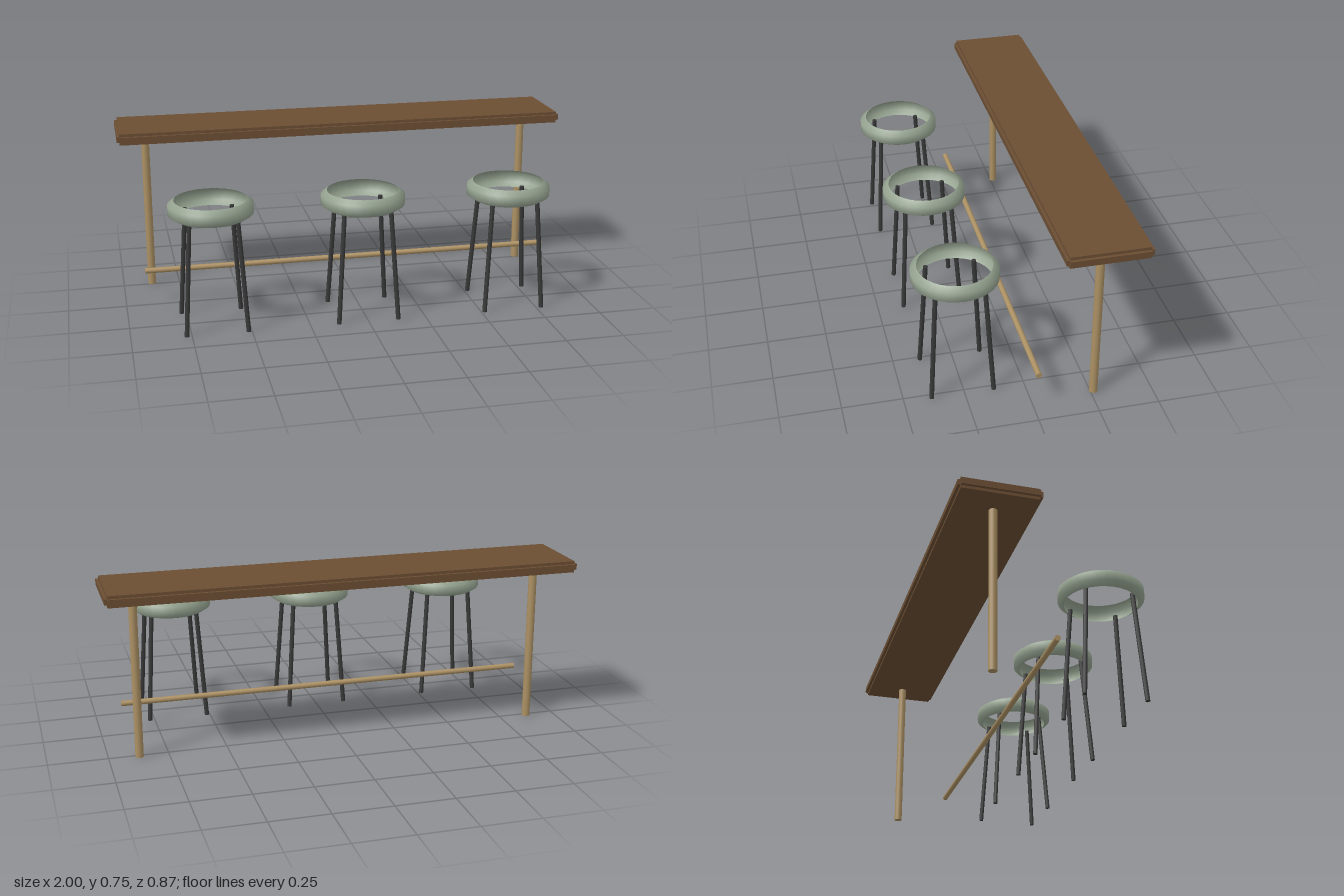
import * as THREE from 'three';

const mat = (name, color, side = THREE.FrontSide) => {
  const m = new THREE.MeshStandardMaterial({ color, side });
  m.name = name;
  return m;
};

export function createModel() {
  const walnut = mat('walnut brown', 0x6b4e33);
  const brass = mat('brass tan', 0xab9063);
  const sage = mat('sage green', 0x95a390, THREE.DoubleSide);
  const black = mat('dark metal', 0x383838);

  const model = new THREE.Group();
  model.name = 'barCounterWithStools';

  const add = (parent, name, geometry, material, x = 0, y = 0, z = 0) => {
    const mesh = new THREE.Mesh(geometry, material);
    mesh.name = name;
    mesh.position.set(x, y, z);
    parent.add(mesh);
    return mesh;
  };

  // round rod between two points
  const rod = (parent, name, from, to, radius, material, sides = 16) => {
    const a = new THREE.Vector3(...from), b = new THREE.Vector3(...to);
    const dir = b.clone().sub(a);
    const mesh = add(parent, name, new THREE.CylinderGeometry(radius, radius, dir.length(), sides), material);
    mesh.position.copy(a).add(b).multiplyScalar(0.5);
    mesh.quaternion.setFromUnitVectors(new THREE.Vector3(0, 1, 0), dir.normalize());
    return mesh;
  };

  // counter top: crossed slabs that give stepped edges
  const top = new THREE.Group();
  top.name = 'counterTop';
  top.position.set(0, 0.7245, -0.263);
  model.add(top);
  add(top, 'counterCore', new THREE.BoxGeometry(1.976, 0.049, 0.318), walnut);
  add(top, 'counterLongEdges', new THREE.BoxGeometry(1.976, 0.024, 0.342), walnut);
  add(top, 'counterEndEdges', new THREE.BoxGeometry(2, 0.024, 0.318), walnut);

  // posts and foot rail
  for (const s of [-1, 1]) {
    rod(model, s > 0 ? 'leftPost' : 'rightPost', [s * 0.873, 0, -0.263], [s * 0.873, 0.695, -0.263], 0.0175, brass);
  }
  rod(model, 'footRail', [-0.912, 0.151, -0.021], [0.912, 0.151, -0.021], 0.012, brass);

  // stools: open ring seat on four splayed legs
  const seatProfile = [[0.152, 0.475], [0.178, 0.492], [0.178, 0.531], [0.152, 0.55]]
    .map(([r, y]) => new THREE.Vector2(r, y));
  const seatGeometry = new THREE.LatheGeometry(seatProfile, 32);
  [-0.643, 0, 0.643].forEach((x, i) => {
    const stool = new THREE.Group();
    stool.name = `stool${i + 1}`;
    stool.position.set(x, 0, 0.258);
    model.add(stool);
    add(stool, 'seatRing', seatGeometry, sage);
    for (const sx of [-1, 1]) for (const sz of [-1, 1]) {
      rod(stool, 'stoolLeg', [sx * 0.129, 0.001, sz * 0.129], [sx * 0.099, 0.487, sz * 0.099], 0.0098, black, 10);
    }
  });

  return model;
}
